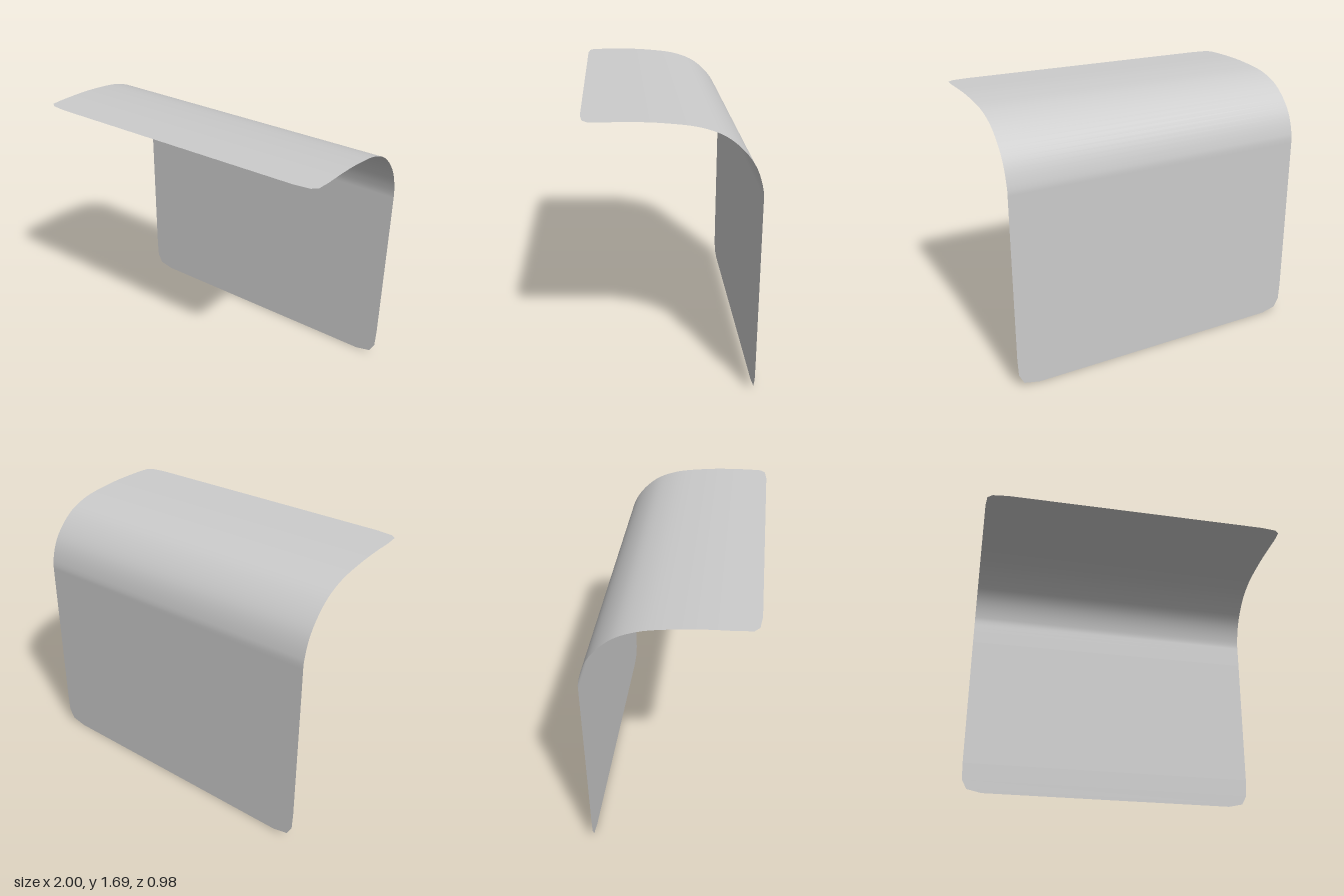
import * as THREE from 'three';

// One row of the sheet: depth, height and half width
const row = (z, y, halfWidth) => ({ z, y, halfWidth });

// Joins rows of left/right points into a smooth single-layer sheet
function sheetGeometry(rows) {
  const positions = [];
  const indices = [];
  rows.forEach(({ z, y, halfWidth }, i) => {
    positions.push(-halfWidth, y, z, halfWidth, y, z);
    if (i === 0) return;
    const a = 2 * (i - 1);
    indices.push(a, a + 2, a + 1, a + 1, a + 2, a + 3);
  });
  const geometry = new THREE.BufferGeometry();
  geometry.setAttribute('position', new THREE.Float32BufferAttribute(positions, 3));
  geometry.setIndex(indices);
  geometry.computeVertexNormals();
  return geometry;
}

export function createModel() {
  const group = new THREE.Group();
  group.name = 'bentSheet';

  const back = -0.49;
  const front = 0.49;
  const top = 1.686;

  // Clipped corners: distance from the end of the sheet and half width there
  const corner = [[0, 0.86], [0.022, 0.96], [0.085, 0.993], [0.2, 0.998]];
  const lipCorner = [[0, 0.86], [0.012, 0.96], [0.04, 0.993], [0.1, 0.998]];

  // Bend from the upright panel over to the level top
  const bend = new THREE.CatmullRomCurve3([
    [1.1, back], [1.27, back], [1.44, -0.435], [1.58, -0.305],
    [1.645, -0.16], [1.677, 0.06], [top, 0.25], [top, 0.36],
  ].map(([y, z]) => new THREE.Vector3(0, y, z)));

  const rows = [
    ...corner.map(([d, w]) => row(back, d, w)),
    ...bend.getPoints(42).map((p) => row(Math.max(p.z, back), Math.min(p.y, top), 1)),
    ...lipCorner.reverse().map(([d, w]) => row(front - d, top, w)),
  ];

  const sheet = new THREE.Mesh(
    sheetGeometry(rows),
    new THREE.MeshStandardMaterial({ color: 0xcccccc, side: THREE.DoubleSide }),
  );
  sheet.name = 'curvedPanel';
  group.add(sheet);
  return group;
}
